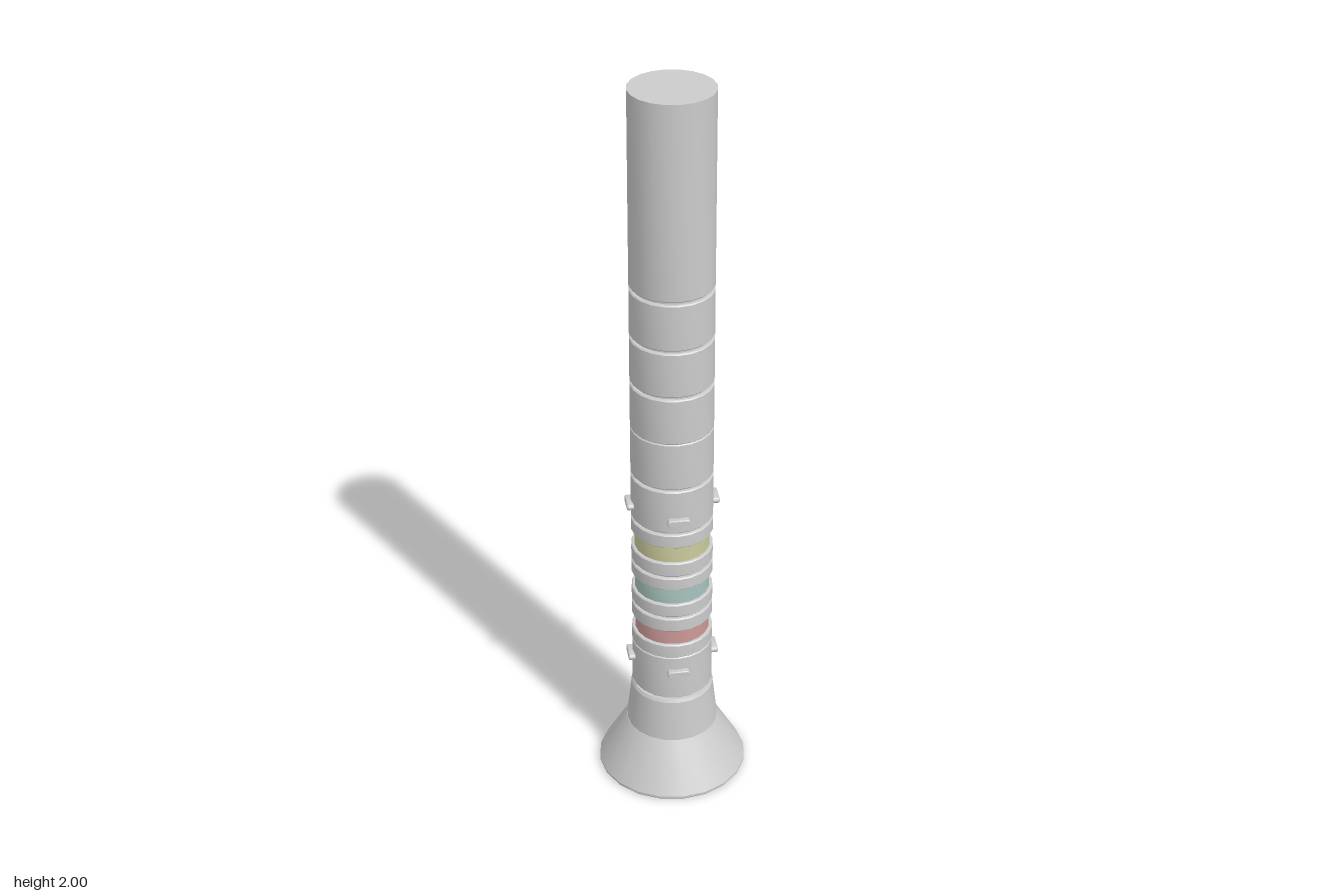
import * as THREE from 'three';
import { toCreasedNormals } from 'three/addons/utils/BufferGeometryUtils.js';

const SIDES = 20;
const R = 0.109; // outer radius of the tube
const CORE = 0.099; // radius inside grooves and coloured bands

const grey = new THREE.MeshStandardMaterial({ color: 0xcccccc });
const paint = (color) => new THREE.MeshStandardMaterial({ color });

export function createModel() {
  const model = new THREE.Group();

  const add = (name, geometry, material = grey) => {
    const mesh = new THREE.Mesh(toCreasedNormals(geometry, 0.4), material);
    mesh.name = name;
    model.add(mesh);
    return mesh;
  };

  // Turned part from [radius, height] pairs, listed bottom to top
  const turned = (name, profile, material) =>
    add(name, new THREE.LatheGeometry(profile.map(([r, y]) => new THREE.Vector2(r, y)), SIDES), material);

  // Tube section with slightly chamfered rims
  const c = 0.003;
  const section = (name, y0, y1) => turned(name, [
    [0, y0], [R - c, y0], [R, y0 + c], [R, y1 - c], [R - c, y1], [0, y1],
  ]);

  // Flared base and tapered neck
  turned('flaredBase', [[0, 0], [0.2, 0], [0.203, 0.004], [0.203, 0.01], [0.126, 0.145], [0, 0.145]]);
  turned('neck', [[0.125, 0.145], [0.113, 0.25], [0.112, 0.262], [0.107, 0.271], [0, 0.271]]);

  // Inner core visible in the grooves
  turned('core', [[0, 0.26], [CORE, 0.26], [CORE, 1.5], [0, 1.5]]);

  // Tube sections, separated by narrow grooves
  const sections = [
    [0.278, 0.412], [0.412, 0.453],
    [0.498, 0.539], [0.546, 0.585],
    [0.632, 0.669], [0.676, 0.717],
    [0.765, 0.805], [0.812, 0.938], [0.945, 1.08], [1.08, 1.209],
    [1.217, 1.341], [1.349, 1.476],
  ];
  sections.forEach(([y0, y1], i) => section(`tubeSection${i + 1}`, y0, y1));
  turned('upperTube', [[0, 1.484], [R - c, 1.484], [R, 1.487], [R, 2], [0, 2]]);

  // Recessed coloured bands
  const bands = [
    ['pinkBand', 0.453, 0.498, 0xcc9a98],
    ['tealBand', 0.585, 0.632, 0xa8c4be],
    ['yellowBand', 0.717, 0.765, 0xcccb9c],
  ];
  for (const [name, y0, y1, color] of bands) {
    turned(name, [[CORE + 0.001, y0], [CORE + 0.001, y1]], paint(color));
  }

  // Rounded lugs on four sides, in two rows
  const lug = new THREE.Shape();
  const half = 0.021, r = 0.007;
  lug.absarc(half, 0, r, -Math.PI / 2, Math.PI / 2);
  lug.absarc(-half, 0, r, Math.PI / 2, Math.PI * 1.5);
  const lugGeometry = new THREE.ExtrudeGeometry(lug, {
    depth: 0.018, bevelSize: 0.002, bevelThickness: 0.003, bevelSegments: 1, curveSegments: 6,
  }).translate(0, 0, 0.101);
  for (const [row, y] of [['lower', 0.365], ['upper', 0.85]]) {
    ['Front', 'Left', 'Back', 'Right'].forEach((side, i) => {
      const mesh = add(`${row}${side}Lug`, lugGeometry);
      mesh.position.y = y;
      mesh.rotation.y = (i * Math.PI) / 2;
    });
  }

  return model;
}
